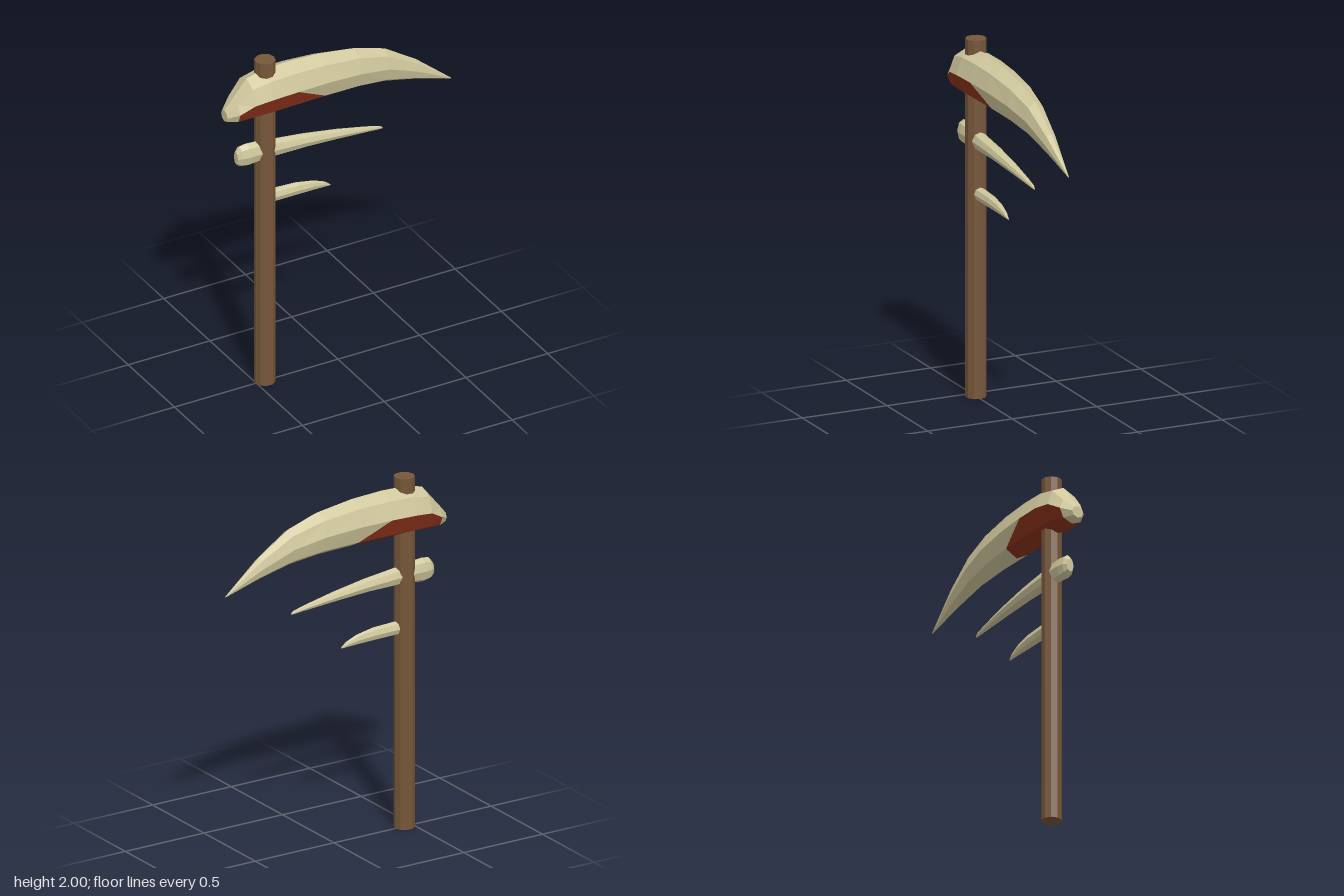
import * as THREE from 'three';

const BONE = 0xcfc79c, RED = 0x8a321a, WOOD = 0x77573a;
const SIDES = 8;

const mat = (color) => new THREE.MeshStandardMaterial({ color, flatShading: true });

function meshFrom(positions, color, name) {
  const g = new THREE.BufferGeometry();
  g.setAttribute('position', new THREE.Float32BufferAttribute(positions, 3));
  g.computeVertexNormals();
  const m = new THREE.Mesh(g, mat(color));
  m.name = name;
  return m;
}

// Lofts eight-sided rings along x; each station is [x, top y, bottom y, half width].
// isStained(station, side, half) picks the triangles that go to the stained mesh.
function loftTooth(name, stations, isStained = () => false) {
  const rings = stations.map(([x, top, bottom, w]) =>
    Array.from({ length: SIDES }, (_, i) => {
      const a = (i / SIDES) * Math.PI * 2;
      return [x, (top + bottom) / 2 + ((top - bottom) / 2) * Math.cos(a), w * Math.sin(a)];
    }));
  const clean = [], stained = [];
  for (let s = 0; s < rings.length - 1; s++) {
    for (let i = 0; i < SIDES; i++) {
      const j = (i + 1) % SIDES;
      const a = rings[s][i], b = rings[s][j], d = rings[s + 1][i], e = rings[s + 1][j];
      // diagonals mirror between the front and back halves
      const halves = i < SIDES / 2 ? [[a, b, e], [a, e, d]] : [[a, b, d], [b, e, d]];
      halves.forEach((t, half) => (isStained(s, i, half) ? stained : clean).push(...t.flat()));
    }
  }
  // end caps
  const cap = (ring, [x, top, bottom], flip) => {
    const c = [x, (top + bottom) / 2, 0];
    for (let i = 0; i < SIDES; i++) {
      const p = ring[i], q = ring[(i + 1) % SIDES];
      clean.push(...c, ...(flip ? q : p), ...(flip ? p : q));
    }
  };
  cap(rings[0], stations[0], true);
  cap(rings.at(-1), stations.at(-1), false);

  const group = new THREE.Group();
  group.name = name;
  group.add(meshFrom(clean, BONE, name + 'Bone'));
  if (stained.length) group.add(meshFrom(stained, RED, name + 'Stain'));
  return group;
}

export function createModel() {
  const model = new THREE.Group();
  model.name = 'boneScythe';

  // wooden pole
  const pole = new THREE.Mesh(new THREE.CylinderGeometry(0.057, 0.057, 2, 10), mat(WOOD));
  pole.name = 'pole';
  pole.rotation.y = Math.PI / 2;
  pole.position.set(-0.447, 1, 0);
  model.add(pole);

  // large curved blade, stained red low down near the pole
  model.add(loftTooth('blade', [
    [-0.695, 1.755, 1.688, 0.035],
    [-0.64, 1.82, 1.674, 0.077],
    [-0.56, 1.915, 1.672, 0.102],
    [-0.455, 1.94, 1.672, 0.112],
    [-0.30, 1.945, 1.672, 0.108],
    [-0.115, 1.937, 1.672, 0.098],
    [0.10, 1.907, 1.667, 0.082],
    [0.285, 1.85, 1.648, 0.06],
    [0.475, 1.728, 1.605, 0.036],
    [0.69, 1.548, 1.542, 0.002],
  ], (s, i, half) => {
    if (s < 1 || s > 4 || i < 2 || i > 5) return false;
    return s < 4 || i === 3 || i === 4 || half === 0;
  }));

  // middle tooth, running through the pole to a blunt butt
  model.add(loftTooth('middleTooth', [
    [-0.624, 1.475, 1.398, 0.022],
    [-0.602, 1.503, 1.38, 0.036],
    [-0.56, 1.51, 1.373, 0.042],
    [-0.50, 1.505, 1.38, 0.042],
    [-0.40, 1.49, 1.386, 0.041],
    [-0.20, 1.465, 1.386, 0.036],
    [0.0, 1.432, 1.376, 0.027],
    [0.17, 1.397, 1.364, 0.016],
    [0.25, 1.378, 1.357, 0.009],
    [0.27, 1.367, 1.356, 0.004],
  ]));

  // small lower tooth
  model.add(loftTooth('lowerTooth', [
    [-0.45, 1.18, 1.105, 0.033],
    [-0.38, 1.181, 1.104, 0.033],
    [-0.25, 1.176, 1.102, 0.028],
    [-0.15, 1.158, 1.1, 0.02],
    [-0.08, 1.13, 1.098, 0.011],
    [-0.048, 1.105, 1.097, 0.003],
  ]));

  return model;
}
